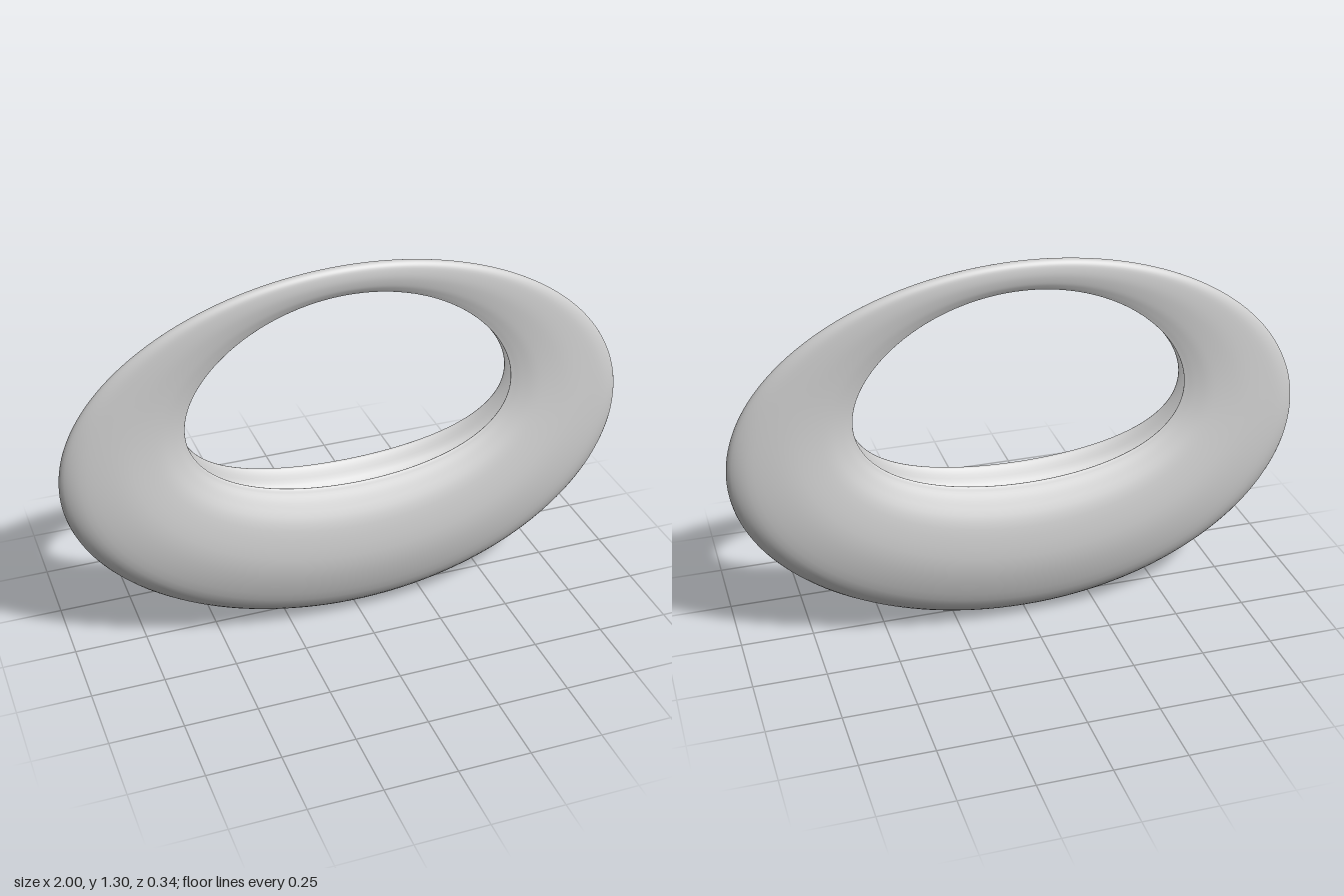
import * as THREE from 'three';

// Half of the cross-section: [0 = outer rim .. 1 = inner lip, share of half thickness]
const HALF = [
  [0, 0], [0.06, 0.49], [0.2, 0.82], [0.48, 1], [0.75, 0.88], [0.9, 0.66],
  [0.97, 0.52], [1, 0.45], [0.975, 0.36], [0.9, 0.2], [0.86, 0],
];

// Mirror the half into a smooth closed loop
function sectionLoop(count) {
  const back = HALF.slice(1, -1).reverse().map(([s, t]) => [s, -t]);
  const pts = [...HALF, ...back].map(([s, t]) => new THREE.Vector3(s, t, 0));
  return new THREE.CatmullRomCurve3(pts, true, 'centripetal').getPoints(count).slice(0, count);
}

// Sweep the section round the ring between the outer oval and the egg-shaped hole
function ringGeometry(around = 192, across = 80) {
  const loop = sectionLoop(across);
  const pos = [], index = [];
  for (let i = 0; i < around; i++) {
    const a = (i / around) * Math.PI * 2; // starts at the bottom
    const c = Math.cos(a), sn = Math.sin(a);
    const outer = new THREE.Vector2(sn, 0.65 - 0.65 * c);
    const inner = new THREE.Vector2(0.58 * sn, 0.86 - 0.34 * c - 0.06 * (1 - c * c));
    const half = 0.027 + 0.143 * ((1 + c) / 2) ** 2; // thick below, thin above
    loop.forEach((p, j) => {
      const q = outer.clone().lerp(inner, p.x);
      pos.push(q.x, q.y, p.y * half);
      const i2 = (i + 1) % around, j2 = (j + 1) % across;
      const v00 = i * across + j, v10 = i2 * across + j;
      const v01 = i * across + j2, v11 = i2 * across + j2;
      index.push(v00, v10, v01, v10, v11, v01);
    });
  }
  const geo = new THREE.BufferGeometry();
  geo.setAttribute('position', new THREE.Float32BufferAttribute(pos, 3));
  geo.setIndex(index);
  geo.computeVertexNormals();
  return geo;
}

export function createModel() {
  const group = new THREE.Group();
  const ring = new THREE.Mesh(ringGeometry(), new THREE.MeshStandardMaterial({ color: 0xcccccc }));
  ring.name = 'ovalRing';
  group.add(ring);
  return group;
}
